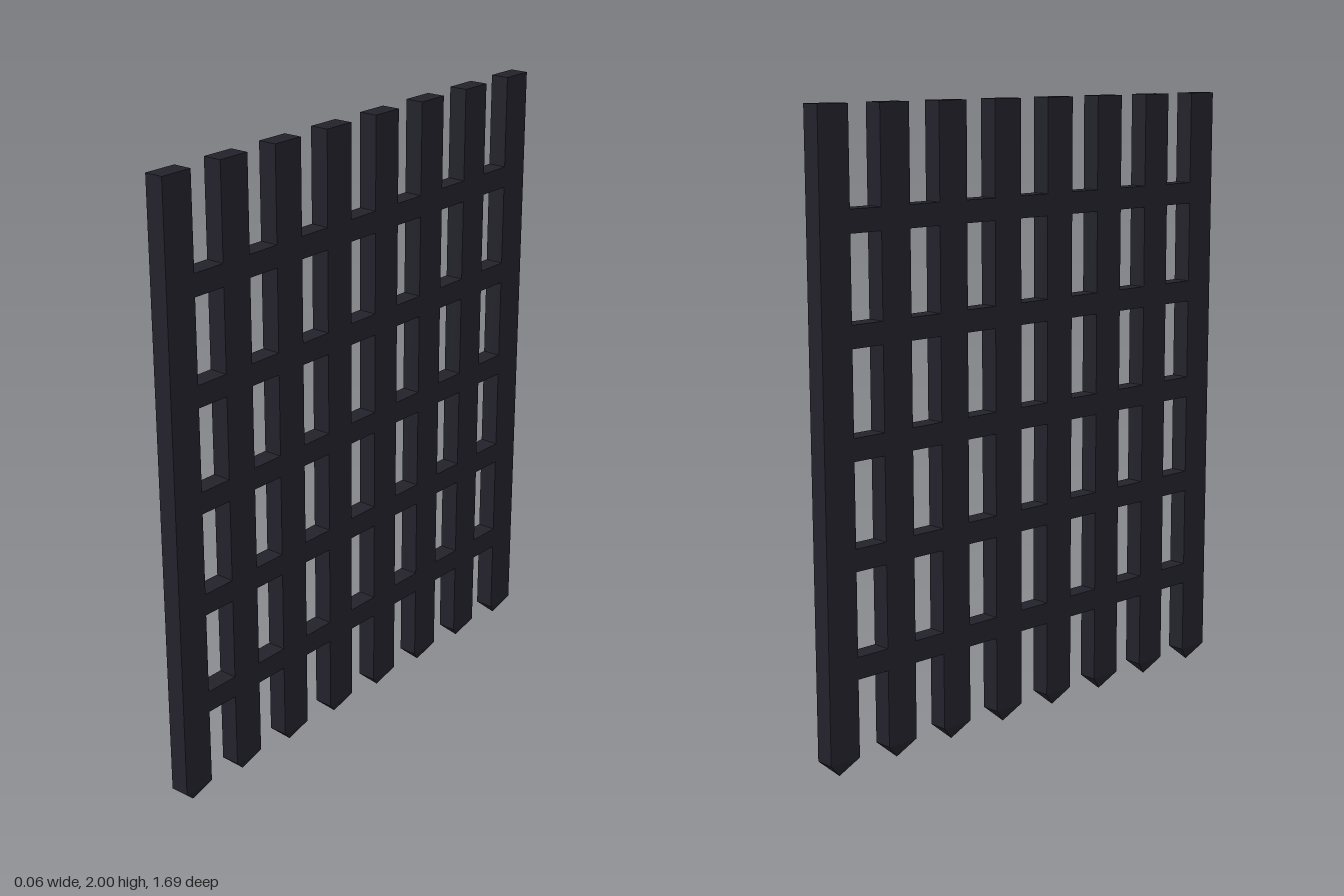
import * as THREE from 'three';

const BARS = 8, RAILS = 5;
const THICK = 0.062, WIDTH = 0.11, TIP = 0.053, RAIL_H = 0.07;
const END = 0.79, STEP = (2 * END) / (BARS - 1);

export function createModel() {
  const group = new THREE.Group();
  group.name = 'portcullis';
  const iron = new THREE.MeshStandardMaterial({ color: 0x23222b });
  iron.name = 'dark iron';
  iron.flatShading = true;

  const add = (name, geometry, y, z) => {
    const mesh = new THREE.Mesh(geometry, iron);
    mesh.name = name;
    mesh.position.set(0, y, z);
    group.add(mesh);
  };

  // Upright bar, open-based pyramid spike and the rail piece between two bars
  const barGeo = new THREE.BoxGeometry(THICK, 2 - TIP, WIDTH);
  const spikeGeo = new THREE.ConeGeometry(Math.SQRT1_2, TIP, 4, 1, true);
  spikeGeo.rotateY(Math.PI / 4).rotateX(Math.PI).scale(THICK, 1, WIDTH);
  const railGeo = new THREE.BoxGeometry(THICK, RAIL_H, STEP - WIDTH);

  for (let i = 0; i < BARS; i++) {
    const z = END - i * STEP;
    add('uprightBar', barGeo, (2 + TIP) / 2, z);
    add('barSpike', spikeGeo, TIP / 2, z);
    if (i === BARS - 1) continue;
    // Flush crossbars at even heights
    for (let j = 1; j <= RAILS; j++) {
      add('crossbar', railGeo, (2 * j) / (RAILS + 1), z - STEP / 2);
    }
  }
  return group;
}
